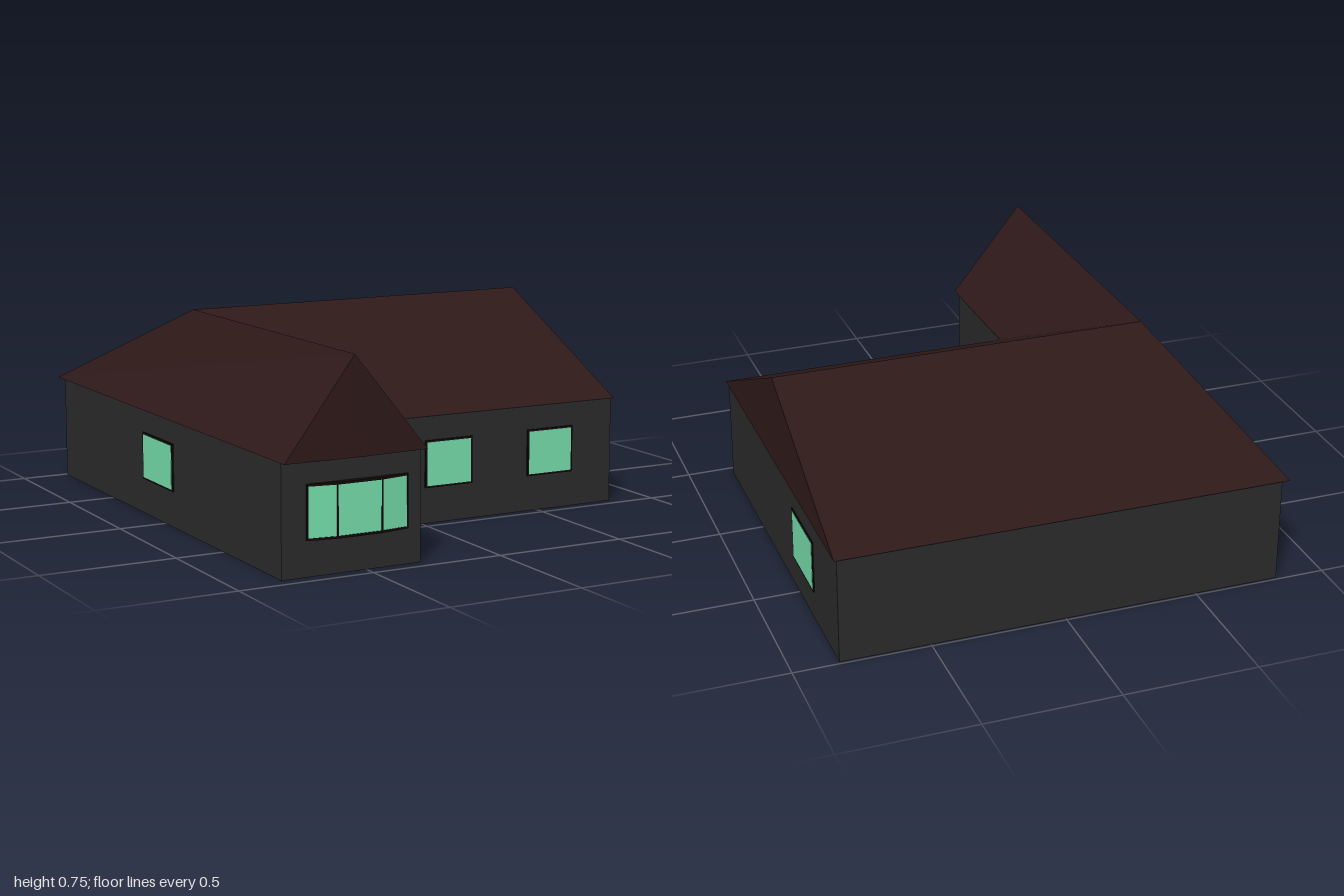
import * as THREE from 'three';

const paint = (color, extra = {}) => new THREE.MeshStandardMaterial({ color, flatShading: true, ...extra });

export function createModel() {
  const house = new THREE.Group();
  const wallMat = paint(0x2b2b2b), roofMat = paint(0x2f1919, { side: THREE.DoubleSide });
  const glassMat = paint(0x75deab), frameMat = paint(0x150b0a), doorMat = paint(0xb08626);

  const add = (name, geometry, material, parent = house) => {
    const mesh = new THREE.Mesh(geometry, material);
    mesh.name = name;
    parent.add(mesh);
    return mesh;
  };

  // Raises a plan outline of [x, z] points from y0 to y1
  const raisePlan = (plan, y0, y1) => {
    const shape = new THREE.Shape(plan.map(([x, z]) => new THREE.Vector2(x, -z)));
    return new THREE.ExtrudeGeometry(shape, { depth: y1 - y0, bevelEnabled: false })
      .rotateX(-Math.PI / 2).translate(0, y0, 0);
  };

  // L-shaped walls
  add('walls', raisePlan([
    [-0.82, -0.99], [0.83, -0.99], [0.83, 0.458], [-0.29, 0.458], [-0.29, 0.95], [-0.82, 0.95],
  ], 0, 0.402), wallMat);

  // Roof: eave corners, ridge ends, then the planes between them
  const p = {
    backRight: [-0.845, 0.4, -1], backLeft: [0.84, 0.4, -0.995], frontLeft: [0.84, 0.4, 0.463],
    inner: [-0.29, 0.4, 0.463], wingLeft: [-0.283, 0.4, 0.985], wingMid: [-0.56, 0.4, 1],
    wingRight: [-0.83, 0.4, 0.995], hip: [-0.58, 0.745, -0.26],
    mainEnd: [0.84, 0.745, -0.26], wingEnd: [-0.565, 0.745, 0.99],
  };
  const planes = [
    ['backRight', 'hip', 'mainEnd', 'backLeft'],
    ['backRight', 'wingRight', 'wingEnd', 'hip'],
    ['wingLeft', 'inner', 'hip', 'wingEnd'],
    ['inner', 'frontLeft', 'mainEnd', 'hip'],
    ['frontLeft', 'backLeft', 'mainEnd'],
    ['wingEnd', 'wingRight', 'wingMid', 'wingLeft'],
    ['backRight', 'backLeft', 'frontLeft', 'inner'],
    ['backRight', 'inner', 'wingLeft', 'wingMid', 'wingRight'],
  ];
  const positions = [];
  for (const plane of planes) {
    for (let i = 1; i < plane.length - 1; i++) {
      positions.push(...p[plane[0]], ...p[plane[i]], ...p[plane[i + 1]]);
    }
  }
  const roof = new THREE.BufferGeometry();
  roof.setAttribute('position', new THREE.Float32BufferAttribute(positions, 3));
  roof.computeVertexNormals();
  add('roof', roof, roofMat);

  // Flat windows: a dark frame with a pane standing just proud of it
  const addWindow = (name, w, h, x, y, z, turn) => {
    const group = new THREE.Group();
    group.name = name;
    add('frame', new THREE.BoxGeometry(w, h, 0.012), frameMat, group);
    add('pane', new THREE.BoxGeometry(w - 0.014, h - 0.014, 0.015), glassMat, group);
    group.position.set(x, y, z);
    group.rotation.y = turn;
    house.add(group);
  };
  addWindow('frontWindowInner', 0.2, 0.177, 0.112, 0.222, 0.458, 0);
  addWindow('frontWindowOuter', 0.2, 0.177, 0.553, 0.222, 0.458, 0);
  addWindow('leftWindow', 0.262, 0.202, 0.828, 0.212, -0.57, Math.PI / 2);
  addWindow('rightWindow', 0.27, 0.177, -0.82, 0.222, -0.055, -Math.PI / 2);

  // Front door
  add('door', new THREE.BoxGeometry(0.095, 0.235, 0.012), doorMat).position.set(-0.212, 0.1175, 0.458);

  // Bowed three-pane window on the wing
  const bay = new THREE.Group();
  bay.name = 'bayWindow';
  house.add(bay);
  const bow = (grow) => [
    [-0.724 - grow, 0.94], [-0.345 + grow, 0.94], [-0.345 + grow, 0.955],
    [-0.45, 0.97 + grow], [-0.62, 0.97 + grow], [-0.724 - grow, 0.955],
  ];
  add('panes', raisePlan(bow(0), 0.132, 0.31), glassMat, bay);
  add('sill', raisePlan(bow(0.004), 0.125, 0.133), frameMat, bay);
  add('head', raisePlan(bow(0.004), 0.309, 0.317), frameMat, bay);
  for (const [x, z] of [[-0.725, 0.953], [-0.62, 0.969], [-0.45, 0.969], [-0.344, 0.953]]) {
    add('mullion', new THREE.BoxGeometry(0.005, 0.18, 0.008), frameMat, bay).position.set(x, 0.221, z);
  }

  return house;
}
